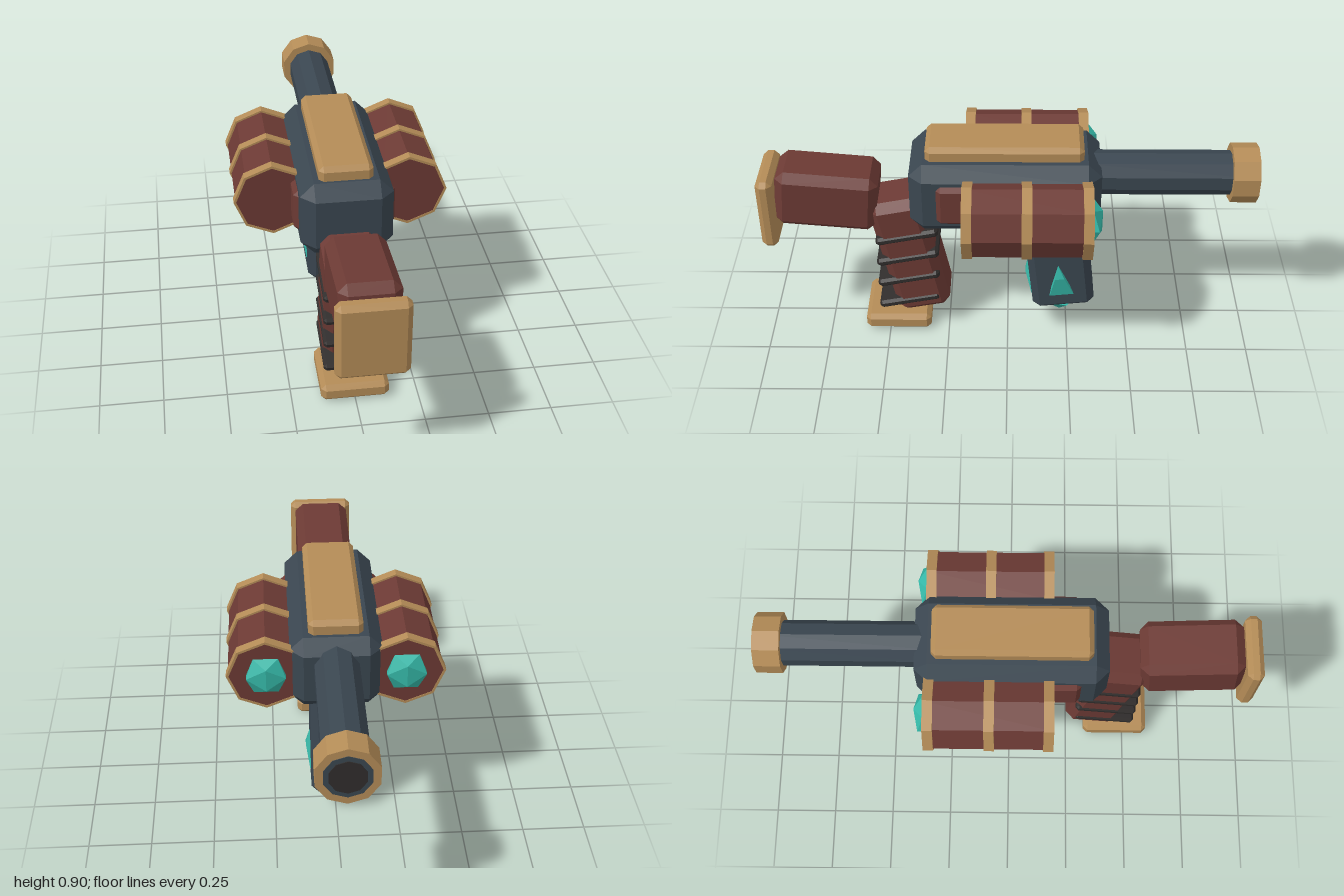
import * as THREE from 'three';
import { ConvexGeometry } from 'three/addons/geometries/ConvexGeometry.js';

const paint = (name, color) => {
  const m = new THREE.MeshStandardMaterial({ color, flatShading: true });
  m.name = name;
  return m;
};

// Box with every edge cut at 45 degrees by c
function chamferBox(w, h, d, c) {
  const pts = [], [x, y, z] = [w / 2, h / 2, d / 2];
  for (const i of [-1, 1]) for (const j of [-1, 1]) for (const k of [-1, 1]) {
    pts.push(
      new THREE.Vector3(i * x, j * (y - c), k * (z - c)),
      new THREE.Vector3(i * (x - c), j * y, k * (z - c)),
      new THREE.Vector3(i * (x - c), j * (y - c), k * z));
  }
  return new ConvexGeometry(pts);
}

// Shard lying on a face that looks along +z
function shardGeometry() {
  const p = (x, y, z) => new THREE.Vector3(x, y, z);
  return new ConvexGeometry([
    p(-0.058, -0.08, -0.02), p(0.058, -0.08, -0.02), p(0, 0.08, -0.02),
    p(-0.05, -0.08, 0.003), p(0.05, -0.08, 0.003), p(0, 0.075, 0.003),
    p(-0.02, 0.015, 0.018), p(0.02, 0.015, 0.018)]);
}

export function createModel() {
  const root = new THREE.Group();
  root.name = 'blaster';
  const brass = paint('brass', 0xb48c57);
  const leather = paint('red leather', 0x6c3a34);
  const steel = paint('blue steel', 0x3a4650);
  const rubber = paint('dark rubber', 0x302d2c);
  const crystal = paint('teal crystal', 0x35b8a8);

  const add = (name, geo, mat, x, y, z, rx = 0, parent = root) => {
    const m = new THREE.Mesh(geo, mat);
    m.name = name;
    m.position.set(x, y, z);
    m.rotation.x = rx;
    parent.add(m);
    return m;
  };
  // Cylinder along z between two depths
  const tube = (name, r, sides, z0, z1, mat, x, y) =>
    add(name, new THREE.CylinderGeometry(r, r, Math.abs(z1 - z0), sides), mat, x, y, (z0 + z1) / 2, Math.PI / 2);

  // Receiver and top rail
  add('receiver', chamferBox(0.36, 0.31, 0.76, 0.054), steel, 0, 0.69, 0.01);
  add('topRail', chamferBox(0.21, 0.075, 0.625, 0.019), brass, 0, 0.8635, 0.0125);

  // Barrel, muzzle and bore
  tube('barrel', 0.09, 10, -0.3, -0.997, steel, 0, 0.73);
  tube('muzzleRing', 0.12, 10, -0.89, -0.995, brass, 0, 0.73);
  tube('bore', 0.07, 10, -0.9, -1, rubber, 0, 0.73);

  // Side canisters with hoops, end crystals and lugs
  for (const s of [-1, 1]) {
    tube('canister', 0.145, 8, 0.173, -0.328, leather, s * 0.27, 0.687);
    for (const z of [0.155, -0.075, -0.31]) {
      const hoop = new THREE.Shape(), hole = new THREE.Path();
      for (let i = 0; i < 8; i++) {
        const a = i * Math.PI / 4, f = i ? 'lineTo' : 'moveTo';
        hoop[f](0.153 * Math.cos(a), 0.153 * Math.sin(a));
        hole[f](0.143 * Math.cos(a), 0.143 * Math.sin(a));
      }
      hoop.holes.push(hole);
      const geo = new THREE.ExtrudeGeometry(hoop, { depth: 0.04, bevelEnabled: false });
      add('canisterHoop', geo, brass, s * 0.27, 0.687, z - 0.02);
    }
    const gem = add('canisterCrystal', new THREE.IcosahedronGeometry(0.09), crystal, s * 0.27, 0.687, -0.33);
    gem.scale.z = 0.5;
    add('sideLug', chamferBox(0.1, 0.18, 0.4, 0.02), leather, s * 0.148, 0.688, 0.083);
  }

  // Magazine with crystal shards
  const magazine = new THREE.Group();
  magazine.name = 'magazine';
  magazine.position.set(0, 0.34, -0.212);
  magazine.rotation.x = 0.11;
  root.add(magazine);
  add('magazineBody', chamferBox(0.2, 0.5, 0.26, 0.03), steel, 0, 0, 0, 0, magazine);
  const shard = shardGeometry();
  for (const s of [-1, 1]) {
    add('sideShard', shard, crystal, s * 0.1, -0.09, 0.004, 0, magazine).rotation.y = s * Math.PI / 2;
  }
  add('frontShard', shard, crystal, 0, -0.11, 0.13, 0, magazine);
  add('bottomCrystal', new THREE.ConeGeometry(0.09, 0.085, 5), crystal, 0, 0.053, -0.222, Math.PI);

  // Slanted grip with bands and foot plate
  const tilt = 0.2;
  add('grip', chamferBox(0.222, 0.56, 0.225, 0.035), leather, 0, 0.36, 0.404, tilt);
  for (const y of [0.473, 0.366, 0.257, 0.142]) {
    add('gripBand', chamferBox(0.234, 0.036, 0.26, 0.011), rubber, 0, y, 0.412, tilt);
  }
  add('gripFoot', chamferBox(0.27, 0.073, 0.275, 0.019), brass, 0, 0.0365, 0.463);

  // Shoulder stock and butt plate
  add('stock', chamferBox(0.23, 0.25, 0.41, 0.034), leather, 0, 0.635, 0.73, -0.09);
  add('buttPlate', chamferBox(0.27, 0.315, 0.066, 0.02), brass, 0, 0.593, 0.967);

  return root;
}
